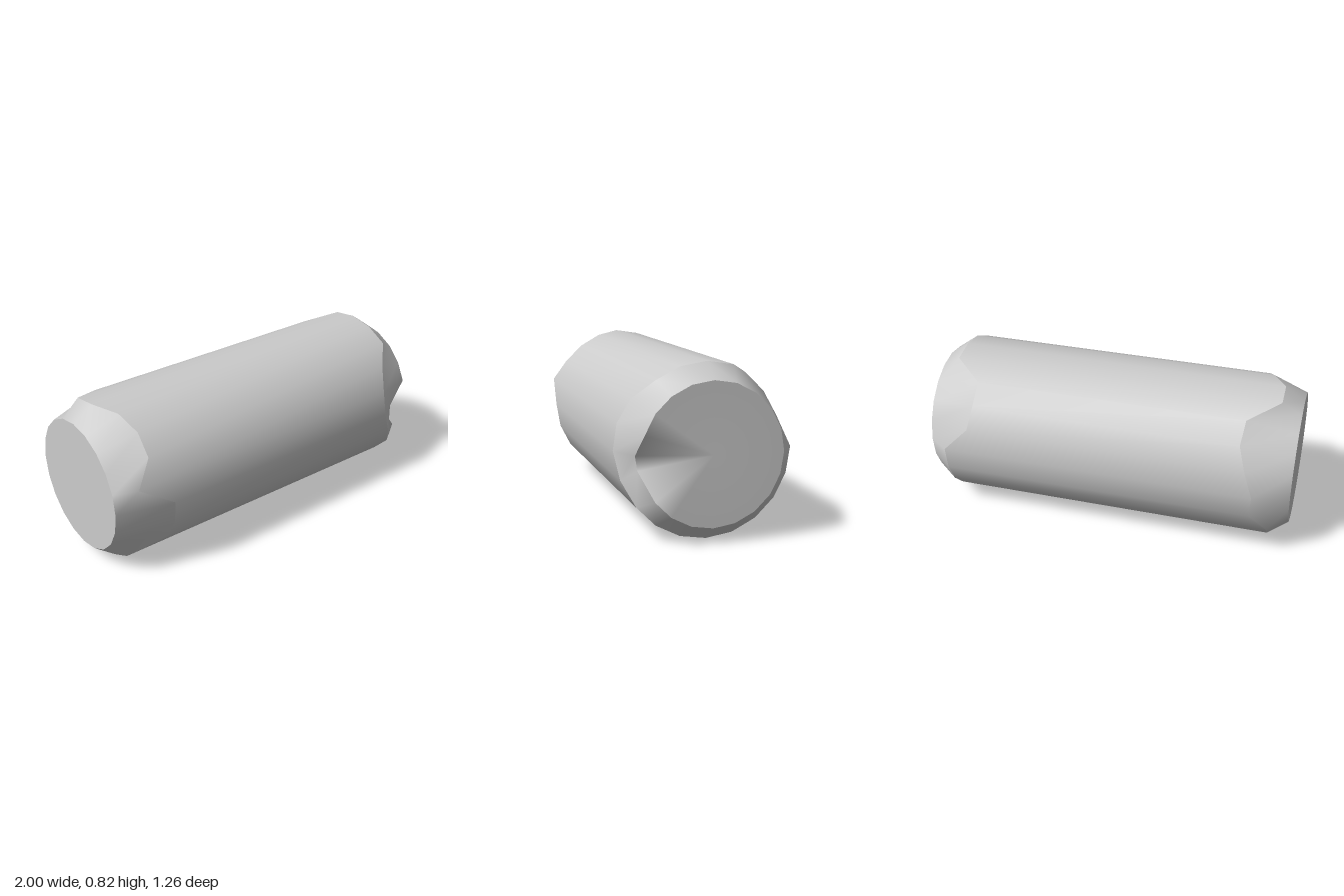
import * as THREE from 'three';

const SIDES = 20;
const RADIUS = 0.411;
const CAP_RADIUS = 0.337;
const CAP_X = 0.946;

// One ring about the local x axis, from a distance along x for every 18 degrees.
function ring(radius, xs) {
  return xs.map((x, i) => {
    const a = (i / SIDES) * Math.PI * 2;
    return new THREE.Vector3(x, RADIUS + radius * Math.sin(a), radius * Math.cos(a));
  });
}

// Ring of equal distances, with some corners moved along the axis.
function distances(base, moved = {}) {
  return Array.from({ length: SIDES }, (_, i) => moved[i] ?? base);
}

function surface(name, points, index, material) {
  const geometry = new THREE.BufferGeometry().setFromPoints(points);
  geometry.setIndex(index);
  geometry.computeVertexNormals();
  const mesh = new THREE.Mesh(geometry, material);
  mesh.name = name;
  return mesh;
}

// Smooth band between two rings, the first one at the lower x.
function band(name, low, high, material) {
  const index = [];
  for (let i = 0; i < SIDES; i++) {
    const j = (i + 1) % SIDES;
    index.push(i, SIDES + i, SIDES + j, i, SIDES + j, j);
  }
  return surface(name, [...low, ...high], index, material);
}

// Fan of triangles closing an end; side is +1 or -1 along x.
function cap(name, rim, side, material) {
  const index = [];
  for (let i = 0; i < SIDES; i++) {
    const j = (i + 1) % SIDES;
    index.push(SIDES, ...(side > 0 ? [j, i] : [i, j]));
  }
  const center = new THREE.Vector3(side * CAP_X, RADIUS, 0);
  return surface(name, [...rim, center], index, material);
}

export function createModel() {
  const model = new THREE.Group();
  model.name = 'chippedLog';
  const material = new THREE.MeshStandardMaterial({ color: 0xcccccc });

  // Uneven edges where the bevels meet the long wall
  const leftEdge = ring(RADIUS, distances(-0.845, {
    0: -0.662, 2: -0.75, 3: -0.745, 4: -0.775, 7: -0.69, 8: -0.68,
    9: -0.72, 10: -0.765, 11: -0.757, 18: -0.66, 19: -0.655,
  }));
  const rightEdge = ring(RADIUS, distances(0.845, {
    0: 0.73, 1: 0.725, 2: 0.76, 7: 0.698, 8: 0.70, 9: 0.72, 19: 0.785,
  }));

  // Cap rims; the right one has a dent on its front
  const leftRim = ring(CAP_RADIUS, distances(-CAP_X));
  const rightRim = ring(CAP_RADIUS, distances(CAP_X));
  rightRim[0].set(0.842, 0.406, 0.337);
  rightRim[19].set(0.828, 0.332, 0.322);

  model.add(
    band('wall', leftEdge, rightEdge, material),
    band('leftBevel', leftRim, leftEdge, material),
    band('rightBevel', rightEdge, rightRim, material),
    cap('leftCap', leftRim, -1, material),
    cap('rightCap', rightRim, 1, material),
  );

  // The log lies turned about the vertical axis
  model.rotation.y = THREE.MathUtils.degToRad(17);
  return model;
}
